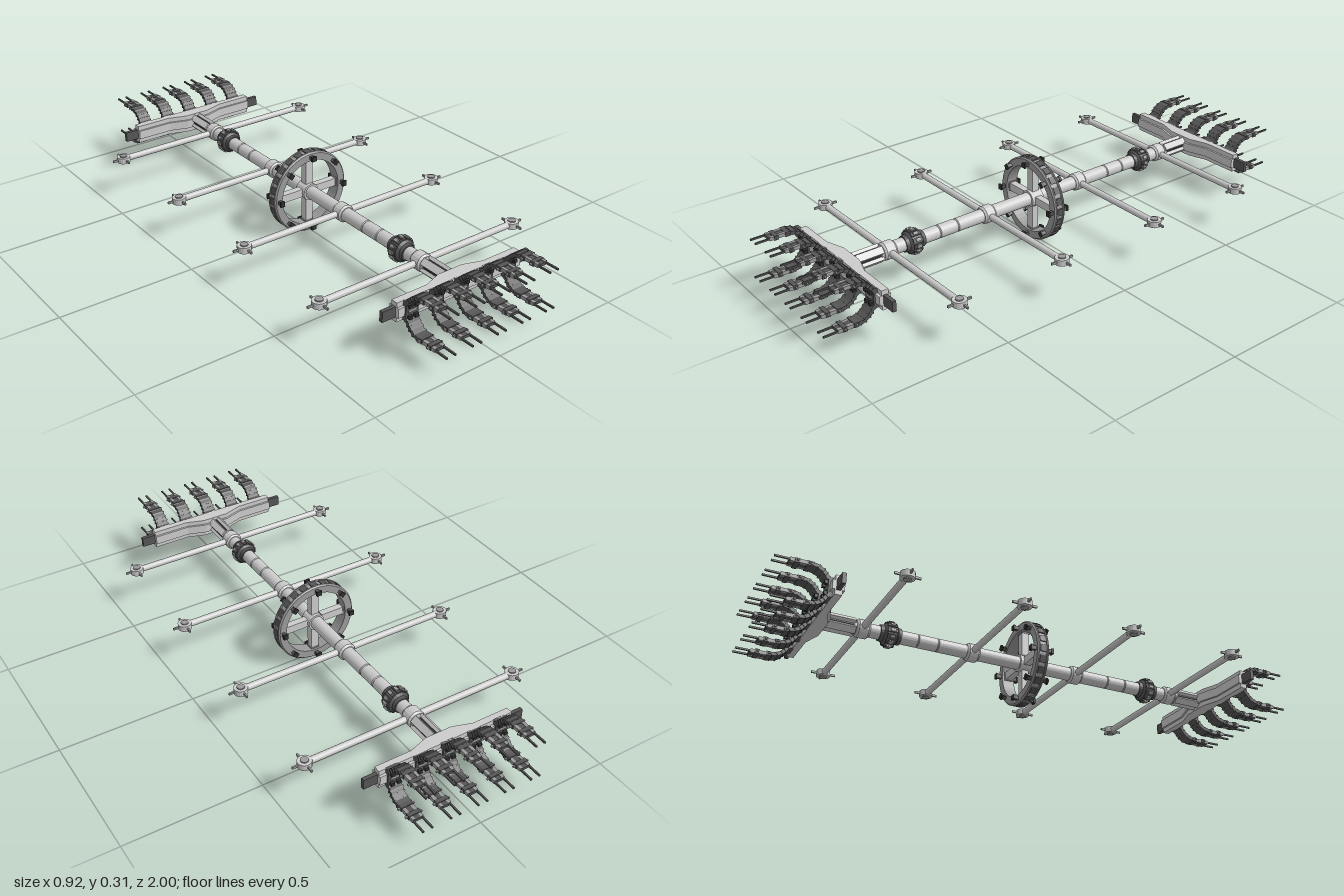
import * as THREE from 'three';

const paint = (color, flatShading = true) => new THREE.MeshStandardMaterial({ color, flatShading });
const light = paint(0xcccccc), smooth = paint(0xcccccc, false);
const mid = paint(0x9a9a9a), dark = paint(0x555555), black = paint(0x303030);

function add(parent, name, geo, material, x = 0, y = 0, z = 0) {
  const m = new THREE.Mesh(geo, material);
  m.name = name;
  m.position.set(x, y, z);
  parent.add(m);
  return m;
}

function group(parent, name, angle = 0) {
  const g = new THREE.Group();
  g.name = name;
  g.rotation.z = angle;
  if (parent) parent.add(g);
  return g;
}

const box = (w, h, d) => new THREE.BoxGeometry(w, h, d);

// Surface of revolution about z, from [radius, z] points in rising z
const latheZ = (points, sides = 20) =>
  new THREE.LatheGeometry(points.map(p => new THREE.Vector2(p[0], p[1])), sides).rotateX(Math.PI / 2);
const tubeZ = (r, z0, z1, sides = 16) => latheZ([[0, z0], [r, z0], [r, z1], [0, z1]], sides);

// Box running between two points [z, y]
function link(parent, name, a, b, width, thick, material) {
  const dz = b[0] - a[0], dy = b[1] - a[1];
  const m = add(parent, name, box(width, thick, Math.hypot(dz, dy) + 0.004), material, 0, (a[1] + b[1]) / 2, (a[0] + b[0]) / 2);
  m.rotation.x = -Math.atan2(dy, dz);
}

function makeWheel() {
  const g = group(null, 'wheel');
  add(g, 'rim', latheZ([[0.125, -0.023], [0.152, -0.023], [0.157, -0.018], [0.157, -0.014], [0.153, -0.012],
    [0.153, 0.012], [0.157, 0.014], [0.157, 0.018], [0.152, 0.023], [0.125, 0.023], [0.125, -0.023]], 48), mid);
  add(g, 'hub', tubeZ(0.032, -0.025, 0.025), light);
  for (let i = 0; i < 4; i++) {
    const s = group(g, 'spoke', i * Math.PI / 2);
    add(s, 'spokeBeam', box(0.1, 0.03, 0.026), light, 0.08);
    add(s, 'spokeFoot', box(0.008, 0.034, 0.03), mid, 0.123);
  }
  // Dark panels around the tread
  for (let i = 0; i < 24; i++) {
    add(group(g, 'treadPanel', i * Math.PI / 12), 'panel', box(0.006, 0.026, 0.024), dark, 0.153);
  }
  // Eight pads on the rim, standing out on both faces
  for (let i = 0; i < 8; i++) {
    const p = group(g, 'rimPad', i * Math.PI / 4);
    for (const s of [-1, 1]) {
      add(p, 'padStem', box(0.012, 0.014, 0.018), dark, 0.139, 0, s * 0.03);
      add(p, 'padCap', box(0.018, 0.02, 0.008), black, 0.139, 0, s * 0.041);
    }
  }
  return g;
}

// Crossbar with a disc and pins at each end
function makeArm(z) {
  const g = group(null, 'arm');
  g.position.z = z;
  add(g, 'armCollar', latheZ([[0, -0.024], [0.027, -0.024], [0.033, -0.017], [0.033, 0.017], [0.027, 0.024], [0, 0.024]], 16), light);
  for (const s of [-1, 1]) {
    add(g, 'armTube', new THREE.CylinderGeometry(0.012, 0.012, 0.39, 16).rotateZ(Math.PI / 2), smooth, s * 0.215);
    const end = group(g, 'armNode');
    end.position.x = s * 0.415;
    add(end, 'nodeDisc', new THREE.CylinderGeometry(0.025, 0.025, 0.022, 20), light);
    add(end, 'nodeCap', new THREE.CylinderGeometry(0.014, 0.014, 0.03, 12), mid);
    for (let i = 0; i < 4; i++) {
      if (s * Math.cos(i * Math.PI / 2) < -0.5) continue; // side taken by the tube
      const t = group(end, 'nodePin');
      t.rotation.y = i * Math.PI / 2;
      add(t, 'pin', box(0.024, 0.008, 0.006), mid, 0.033);
    }
  }
  return g;
}

// Curved finger ending in a plate with two prongs
function makeFinger(x, side) {
  const g = group(null, 'finger');
  g.position.x = x;
  g.scale.y = side;
  const path = [[0.8, 0.024], [0.82, 0.032], [0.829, 0.045], [0.839, 0.056], [0.855, 0.066], [0.875, 0.07]];
  for (let i = 0; i < path.length - 1; i++) {
    link(g, 'fingerLink', path[i], path[i + 1], 0.046, 0.013, dark);
    const [z, y] = path[i + 1];
    add(g, 'fingerKnuckle', box(0.051, 0.015, 0.006), dark, 0, y, z).rotation.x = -0.75;
  }
  add(g, 'fingerPlate', box(0.03, 0.01, 0.08), dark, 0, 0.07, 0.91);
  for (const z of [0.885, 0.925]) {
    add(g, 'plateBand', box(0.046, 0.016, 0.016), dark, 0, 0.07, z);
    add(g, 'plateAxle', box(0.062, 0.006, 0.006), mid, 0, 0.07, z);
  }
  for (const s of [-1, 1]) {
    add(g, 'prongRoot', box(0.011, 0.013, 0.06), mid, s * 0.015, 0.071, 0.918);
    add(g, 'prong', box(0.006, 0.006, 0.055), dark, s * 0.017, 0.071, 0.9725);
  }
  return g;
}

function makeBerth() {
  const g = group(null, 'berth');
  // Beam plan, thicker towards the shaft in the middle; shape y becomes z
  const plan = new THREE.Shape([[-0.26, 0.805], [-0.26, 0.78], [-0.12, 0.78], [-0.05, 0.757], [0.05, 0.757],
    [0.12, 0.78], [0.26, 0.78], [0.26, 0.805]].map(p => new THREE.Vector2(...p)));
  const slab = (name, h, dz) => add(g, name,
    new THREE.ExtrudeGeometry(plan, { depth: h, bevelEnabled: false }).rotateX(Math.PI / 2), light, 0, h / 2, dz);
  slab('beam', 0.07, 0);
  slab('beamRib', 0.034, -0.008);
  add(g, 'beamFace', box(0.52, 0.034, 0.012), light, 0, 0, 0.808);
  for (const s of [-1, 1]) add(g, 'beamEnd', box(0.06, 0.038, 0.014), dark, s * 0.282, 0, 0.793);
  for (let i = -2; i <= 2; i++) {
    const x = i * 0.105;
    add(g, 'fingerBase', box(0.05, 0.07, 0.02), dark, x, 0, 0.81);
    add(g, 'baseStrip', box(0.034, 0.01, 0.004), mid, x, 0, 0.821);
    for (const s of [-1, 1]) {
      for (const e of [-1, 1]) add(g, 'baseBolt', box(0.014, 0.012, 0.024), black, x + e * 0.012, s * 0.02, 0.818);
      g.add(makeFinger(x, s));
    }
  }
  return g;
}

function makeHalf() {
  const g = group(null, 'shaftHalf');
  // Shaft sections separated by fine grooves
  const cuts = [0, 0.21, 0.345, 0.42, 0.5, 0.62, 0.66];
  for (let i = 0; i < cuts.length - 1; i++) {
    const a = cuts[i], b = cuts[i + 1];
    add(g, 'shaftSection', latheZ([[0, a], [0.022, a], [0.0245, a + 0.003],
      [0.0245, b - 0.003], [0.022, b], [0, b]], 24), light);
  }
  // Toothed coupling, widest in the middle
  add(g, 'coupling', latheZ([[0, 0.484], [0.029, 0.484], [0.031, 0.497], [0.04, 0.505], [0.04, 0.54],
    [0.031, 0.548], [0.029, 0.561], [0, 0.561]], 20), dark);
  for (let i = 0; i < 12; i++) {
    const c = group(g, 'couplingTooth', i * Math.PI / 6);
    add(c, 'toothBase', box(0.012, 0.014, 0.036), dark, 0.037, 0, 0.5225);
    add(c, 'toothTop', box(0.008, 0.012, 0.018), mid, 0.044, 0, 0.5225);
  }
  // Dark neck between long light rails leading to the beam
  add(g, 'neck', tubeZ(0.023, 0.65, 0.77, 12), black);
  for (let i = 0; i < 4; i++) {
    const r = group(g, 'neckRail', Math.PI / 4 + i * Math.PI / 2);
    add(r, 'rail', box(0.015, 0.026, 0.11), light, 0.023, 0, 0.705);
  }
  g.add(makeArm(0.21), makeArm(0.622), makeBerth());
  return g;
}

export function createModel() {
  const model = group(null, 'station');
  const body = group(model, 'body');
  body.position.y = 0.158;
  const front = makeHalf(), back = makeHalf();
  back.rotation.y = Math.PI;
  body.add(makeWheel(), front, back);
  return model;
}
